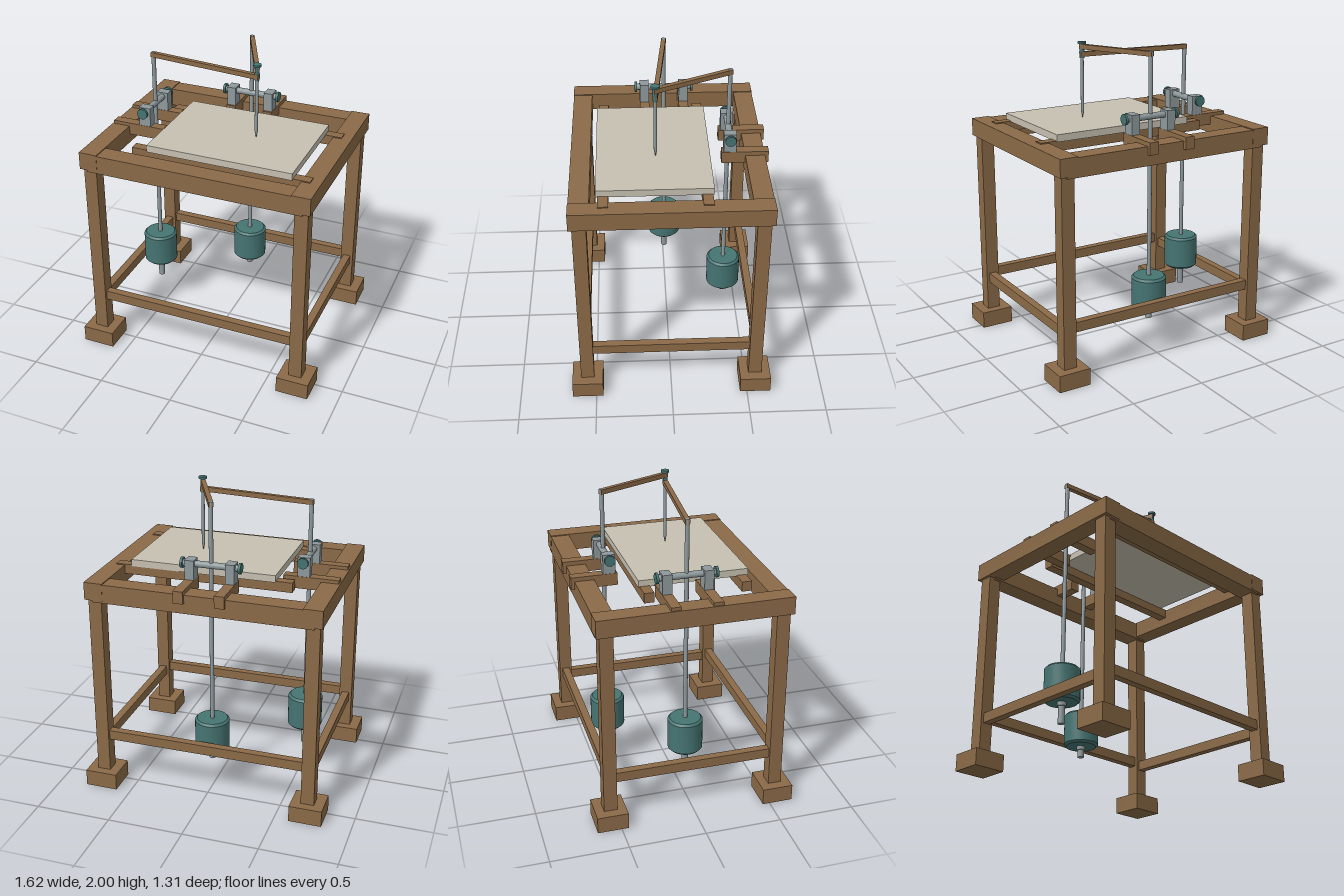
import * as THREE from 'three';
import { toCreasedNormals } from 'three/addons/utils/BufferGeometryUtils.js';

const wood = new THREE.MeshStandardMaterial({ color: 0x8b6a47 });
const teal = new THREE.MeshStandardMaterial({ color: 0x457472 });
const steel = new THREE.MeshStandardMaterial({ color: 0x8e999c });
const slate = new THREE.MeshStandardMaterial({ color: 0xc6c0b1 });

function add(parent, name, geometry, material, x = 0, y = 0, z = 0) {
  const mesh = new THREE.Mesh(geometry, material);
  mesh.name = name;
  mesh.position.set(x, y, z);
  parent.add(mesh);
  return mesh;
}

// Box given by its extents along each axis
function box(parent, name, [x0, x1], [y0, y1], [z0, z1], material = wood) {
  return add(parent, name, new THREE.BoxGeometry(x1 - x0, y1 - y0, z1 - z0), material,
    (x0 + x1) / 2, (y0 + y1) / 2, (z0 + z1) / 2);
}

// Upright cylinder from y0 to y1
function rod(parent, name, r, y0, y1, material, x = 0, z = 0, rBottom = r) {
  return add(parent, name, new THREE.CylinderGeometry(r, rBottom, y1 - y0, 24), material, x, (y0 + y1) / 2, z);
}

const mid = (c, w) => [c - w / 2, c + w / 2];

function makeFrame() {
  const g = new THREE.Group();
  g.name = 'frame';
  for (const s of [-1, 1]) {
    for (const t of [-1, 1]) {
      box(g, 'foot', mid(s * 0.704, 0.215), [0, 0.11], mid(t * 0.555, 0.202));
      box(g, 'leg', mid(s * 0.704, 0.087), [0.11, 1.345], mid(t * 0.555, 0.087));
    }
    box(g, 'sideTopBeam', mid(s * 0.704, 0.122), [1.342, 1.458], [-0.62, 0.62]);
    box(g, 'crossTopBeam', [-0.715, 0.715], [1.33, 1.452], mid(s * 0.555, 0.126));
    box(g, 'sideStretcher', mid(s * 0.704, 0.05), [0.305, 0.37], [-0.513, 0.513]);
    box(g, 'crossStretcher', [-0.66, 0.66], [0.335, 0.4], mid(s * 0.555, 0.05));
  }
  return g;
}

function makeTable() {
  const g = new THREE.Group();
  g.name = 'drawingTable';
  box(g, 'board', [-0.375, 0.591], [1.459, 1.505], [-0.262, 0.453], slate);
  for (const z of [-0.222, 0.409]) box(g, 'boardSupport', [-0.483, 0.7], [1.4, 1.465], mid(z, 0.064));
  return g;
}

// Pendulum with its axle along local x, the frame side at local -z
function makePendulum(name, bobBottom, bobTop, rodTop, runnerBack, runnerFront) {
  const g = new THREE.Group();
  g.name = name;
  rod(g, 'pendulumRod', 0.014, 0.3, rodTop, steel);
  rod(g, 'rodEnd', 0.021, 0.217, bobBottom, steel);
  rod(g, 'bobCollar', 0.029, bobBottom - 0.025, bobBottom, steel);
  const c = 0.014, r = 0.114;
  const profile = [[0, bobBottom], [r - c, bobBottom], [r, bobBottom + c], [r, bobTop - c], [r - c, bobTop], [0, bobTop]]
    .map(([x, y]) => new THREE.Vector2(x, y));
  add(g, 'bob', toCreasedNormals(new THREE.LatheGeometry(profile, 32), 0.5), teal);

  // Pivot axle with end caps, carried by blocks on two runners
  const axle = rod(g, 'axle', 0.021, -0.19, 0.19, steel);
  axle.rotation.z = Math.PI / 2;
  axle.position.y = 1.577;
  for (const s of [-1, 1]) {
    const cap = rod(g, 'axleCap', 0.035, 0, 0.016, teal);
    cap.rotation.z = Math.PI / 2;
    cap.position.set(s * 0.189, 1.577, 0);
    box(g, 'bearingBlock', mid(s * 0.132, 0.06), [1.475, 1.607], mid(0, 0.08), steel);
    box(g, 'runner', mid(s * 0.132, 0.064), [1.4, 1.48], [runnerBack, runnerFront]);
  }
  return g;
}

// Flat arm between two points in plan
function addArm(parent, name, [ax, az], [bx, bz], y) {
  const dx = bx - ax, dz = bz - az;
  const arm = add(parent, name, new THREE.BoxGeometry(Math.hypot(dx, dz) + 0.025, 0.031, 0.03), wood,
    (ax + bx) / 2, y, (az + bz) / 2);
  arm.rotation.y = -Math.atan2(dz, dx);
}

function makePen(x, z) {
  const g = new THREE.Group();
  g.name = 'pen';
  g.position.set(x, 0, z);
  rod(g, 'penCap', 0.027, 1.986, 2, teal);
  rod(g, 'penSleeve', 0.015, 1.895, 1.988, teal);
  rod(g, 'penShaft', 0.011, 1.55, 1.9, steel);
  rod(g, 'penTip', 0.011, 1.505, 1.55, steel, 0, 0, 0.002);
  return g;
}

export function createModel() {
  const model = new THREE.Group();
  model.name = 'pendulumDrawingMachine';

  const back = makePendulum('backPendulum', 0.29, 0.517, 1.985, -0.247, 0.053);
  back.position.set(0, 0, -0.394);
  const side = makePendulum('sidePendulum', 0.355, 0.583, 1.936, -0.227, 0.13);
  side.position.set(-0.529, 0, 0);
  side.rotation.y = Math.PI / 2;

  model.add(makeFrame(), makeTable(), back, side, makePen(0.217, 0.08));
  addArm(model, 'sideArm', [-0.529, 0], [0.217, 0.08], 1.919);
  addArm(model, 'backArm', [0, -0.394], [0.217, 0.08], 1.968);
  return model;
}
